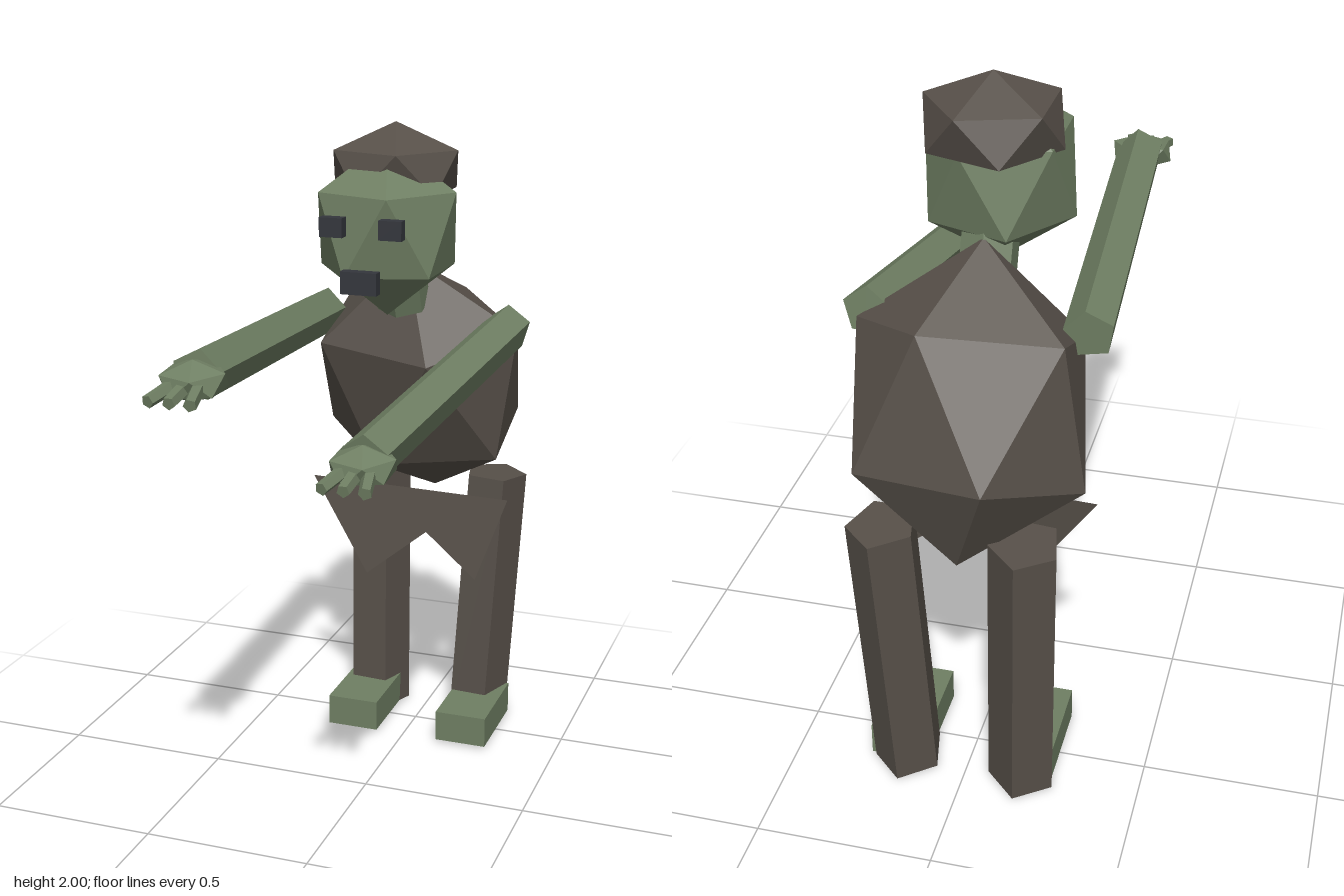
import * as THREE from 'three';

const mat = (color, side = THREE.FrontSide) =>
  new THREE.MeshStandardMaterial({ color, flatShading: true, side });
const skin = mat(0x6f7f63);
const cloth = mat(0x575049);
const dark = mat(0x34363c);
const clothThin = mat(0x575049, THREE.DoubleSide);

const UP = new THREE.Vector3(0, 1, 0);

function addMesh(parent, name, geometry, material) {
  const mesh = new THREE.Mesh(geometry, material);
  mesh.name = name;
  parent.add(mesh);
  return mesh;
}

// Icosahedron with one corner pointing up, stretched to an ellipsoid
function gem(parent, name, material, radii, position, tilt = 0) {
  const g = new THREE.IcosahedronGeometry(1, 0);
  g.rotateZ(-Math.atan(2 / (1 + Math.sqrt(5))));
  g.scale(...radii);
  const mesh = addMesh(parent, name, g, material);
  mesh.position.set(...position);
  mesh.rotation.x = tilt;
  return mesh;
}

// Straight prism from a to b
function strut(parent, name, material, a, b, rA, rB, sides, spin = 0, depth = 1) {
  const from = new THREE.Vector3(...a), to = new THREE.Vector3(...b);
  const dir = to.clone().sub(from);
  const g = new THREE.CylinderGeometry(rB, rA, dir.length(), sides);
  g.rotateY(spin);
  g.scale(1, 1, depth);
  const mesh = addMesh(parent, name, g, material);
  mesh.position.copy(from).add(to).multiplyScalar(0.5);
  mesh.quaternion.setFromUnitVectors(UP, dir.normalize());
  return mesh;
}

function box(parent, name, material, size, position) {
  const mesh = addMesh(parent, name, new THREE.BoxGeometry(...size), material);
  mesh.position.set(...position);
  return mesh;
}

// Arm with a flattened hand and three spread fingers
function arm(parent, name, shoulder, wrist, hand) {
  const group = new THREE.Group();
  group.name = name;
  strut(group, 'forearm', skin, shoulder, wrist, 0.07, 0.07, 5, Math.PI / 6);
  gem(group, 'hand', skin, [0.1, 0.055, 0.1], hand, 0.1);
  const [x, y, z] = hand;
  for (const s of [-1, 0, 1]) {
    strut(group, 'finger', skin, [x + s * 0.035, y - 0.005, z + 0.05],
      [x + s * 0.058, y - 0.024, z + 0.15], 0.02, 0.018, 5);
  }
  parent.add(group);
}

export function createModel() {
  const model = new THREE.Group();
  model.name = 'hunchedFigure';

  // Body leaning forward, neck, head and cap of hair
  gem(model, 'torso', cloth, [0.365, 0.437, 0.265], [0, 1.178, -0.53], 0.37);
  strut(model, 'neck', skin, [0, 1.45, -0.345], [0, 1.64, -0.27], 0.08, 0.08, 6);
  gem(model, 'head', skin, [0.23, 0.255, 0.238], [0, 1.702, -0.19]);
  gem(model, 'hair', cloth, [0.21, 0.136, 0.208], [0, 1.864, -0.262]);

  // Face
  for (const s of [-1, 1]) {
    box(model, s > 0 ? 'leftEye' : 'rightEye', dark, [0.068, 0.055, 0.034], [s * 0.087, 1.738, 0.032]);
  }
  box(model, 'mouth', dark, [0.107, 0.064, 0.034], [0, 1.588, 0.047]);

  // Outstretched arms, the right one raised higher
  arm(model, 'rightArm', [-0.3, 1.385, -0.46], [-0.235, 1.447, 0.63], [-0.235, 1.438, 0.645]);
  arm(model, 'leftArm', [0.3, 1.377, -0.455], [0.2, 1.248, 0.57], [0.2, 1.237, 0.58]);

  // Legs and feet
  const legs = [
    ['right', [-0.165, 0.01, -0.607], [-0.18, 0.845, -0.652], -0.168],
    ['left', [0.175, 0.01, -0.607], [0.215, 0.845, -0.652], 0.2],
  ];
  for (const [side, ankle, hip, footX] of legs) {
    strut(model, side + 'Leg', cloth, ankle, hip, 0.1, 0.1, 5, 0.56, 1.12);
    box(model, side + 'Foot', skin, [0.165, 0.098, 0.29], [footX, 0.062, -0.49]);
  }

  // Torn loincloth hanging in front, slightly turned and slanted
  const rag = new THREE.Shape([
    [-0.327, 0.845], [-0.13, 0.55], [0.065, 0.71], [0.235, 0.58], [0.327, 0.845],
  ].map(([x, y]) => new THREE.Vector2(x, y)));
  const ragGeometry = new THREE.ShapeGeometry(rag);
  const p = ragGeometry.attributes.position;
  for (let i = 0; i < p.count; i++) {
    p.setZ(i, -0.405 + 0.06 * p.getX(i) + 0.12 * (0.845 - p.getY(i)));
  }
  ragGeometry.computeVertexNormals();
  addMesh(model, 'loincloth', ragGeometry, clothThin);

  return model;
}
